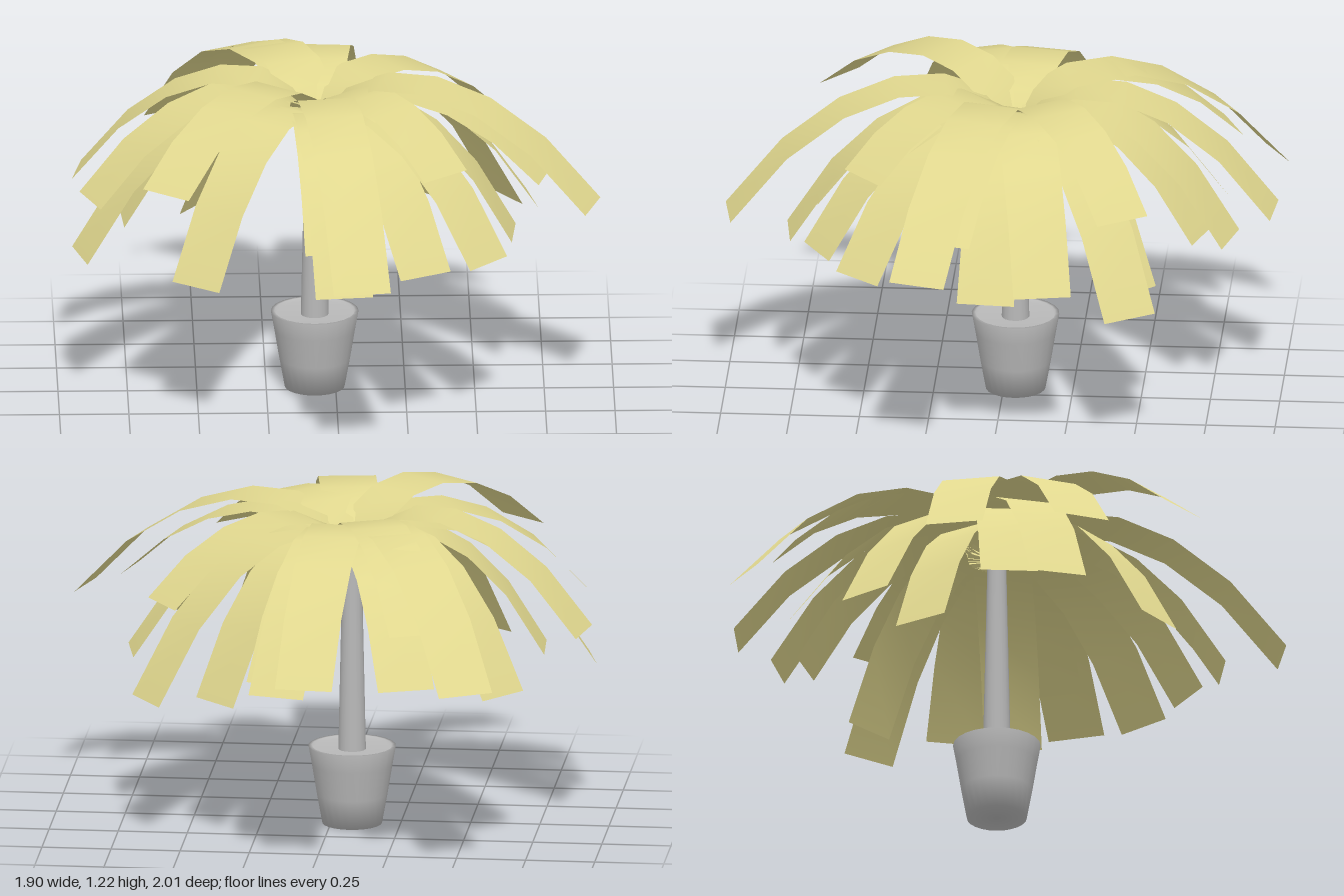
import * as THREE from 'three';

// Trunk axis position
const CX = -0.075, CZ = -0.042;

// Each frond: tip x, tip height, tip z, arch height
const FRONDS = [
  // back
  [-0.58, 0.73, -0.955, 1.27], [0.005, 0.74, -0.98, 1.26], [0.12, 0.67, -0.83, 1.22],
  [0.14, 0.69, -0.73, 1.18], [-0.39, 0.91, -0.81, 1.26], [-0.345, 0.69, -0.765, 1.18],
  // left
  [0.375, 0.555, -0.5, 1.17], [0.625, 0.555, -0.5, 1.2], [0.57, 0.91, -0.47, 1.24],
  [0.71, 0.66, -0.19, 1.2], [0.64, 0.6, 0.02, 1.16], [0.75, 0.87, 0.17, 1.22],
  [0.92, 0.78, 0.25, 1.28],
  // front
  [0.54, 0.65, 0.49, 1.18], [0.385, 0.98, 0.48, 1.24], [0.31, 0.66, 0.65, 1.18],
  [0.075, 0.71, 0.985, 1.28], [0.015, 0.62, 0.77, 1.18], [-0.02, 0.75, 0.67, 1.16],
  // right
  [-0.515, 0.585, 0.54, 1.18], [-0.625, 0.97, 0.63, 1.29], [-0.89, 0.82, 0.26, 1.25],
  [-0.925, 0.58, 0.175, 1.2], [-0.77, 0.66, 0.0, 1.18], [-0.93, 0.775, -0.2, 1.26],
  [-0.67, 0.615, -0.52, 1.2], [-0.5, 0.59, -0.32, 1.16],
];

// Flat ribbon of constant width bent along an arching curve
function frondGeometry([x, y, z, arch]) {
  const dx = x - CX, dz = z - CZ;
  const reach = Math.hypot(dx, dz);
  const ux = dx / reach, uz = dz / reach;
  const curve = new THREE.CubicBezierCurve(
    new THREE.Vector2(0, 1.02),
    new THREE.Vector2(0.15 * reach, arch),
    new THREE.Vector2(0.62 * reach, arch),
    new THREE.Vector2(reach, y)
  );
  const geo = new THREE.PlaneGeometry(0.208, 1, 1, 6);
  const pos = geo.attributes.position;
  for (let i = 0; i < pos.count; i++) {
    const side = pos.getX(i);
    const p = curve.getPoint(pos.getY(i) + 0.5);
    pos.setXYZ(i, CX + ux * p.x - uz * side, p.y, CZ + uz * p.x + ux * side);
  }
  geo.computeVertexNormals();
  return geo;
}

export function createModel() {
  const model = new THREE.Group();
  model.name = 'pottedPalm';

  const leaf = new THREE.MeshStandardMaterial({ color: 0xe0d78e, side: THREE.DoubleSide });
  leaf.name = 'paleLeaf';
  const grey = new THREE.MeshStandardMaterial({ color: 0xb8b8b8, side: THREE.DoubleSide });
  grey.name = 'grey';

  const add = (name, geo, y) => {
    const mesh = new THREE.Mesh(geo, grey);
    mesh.name = name;
    mesh.position.set(CX, y, CZ);
    model.add(mesh);
  };

  // Pot flaring a little at the rim, filled almost to the top
  const profile = [[0, 0], [0.108, 0], [0.128, 0.11], [0.146, 0.22], [0.158, 0.287], [0.145, 0.287], [0.14, 0.275], [0, 0.275]];
  add('pot', new THREE.LatheGeometry(profile.map(([r, y]) => new THREE.Vector2(r, y)), 24), 0);

  // Trunk, hidden at the top by the crown
  add('trunk', new THREE.CylinderGeometry(0.034, 0.05, 0.74, 16), 0.64);

  // Crown of fronds
  const crown = new THREE.Group();
  crown.name = 'crown';
  FRONDS.forEach((f, i) => {
    const mesh = new THREE.Mesh(frondGeometry(f), leaf);
    mesh.name = 'frond' + (i + 1);
    crown.add(mesh);
  });
  model.add(crown);

  return model;
}
